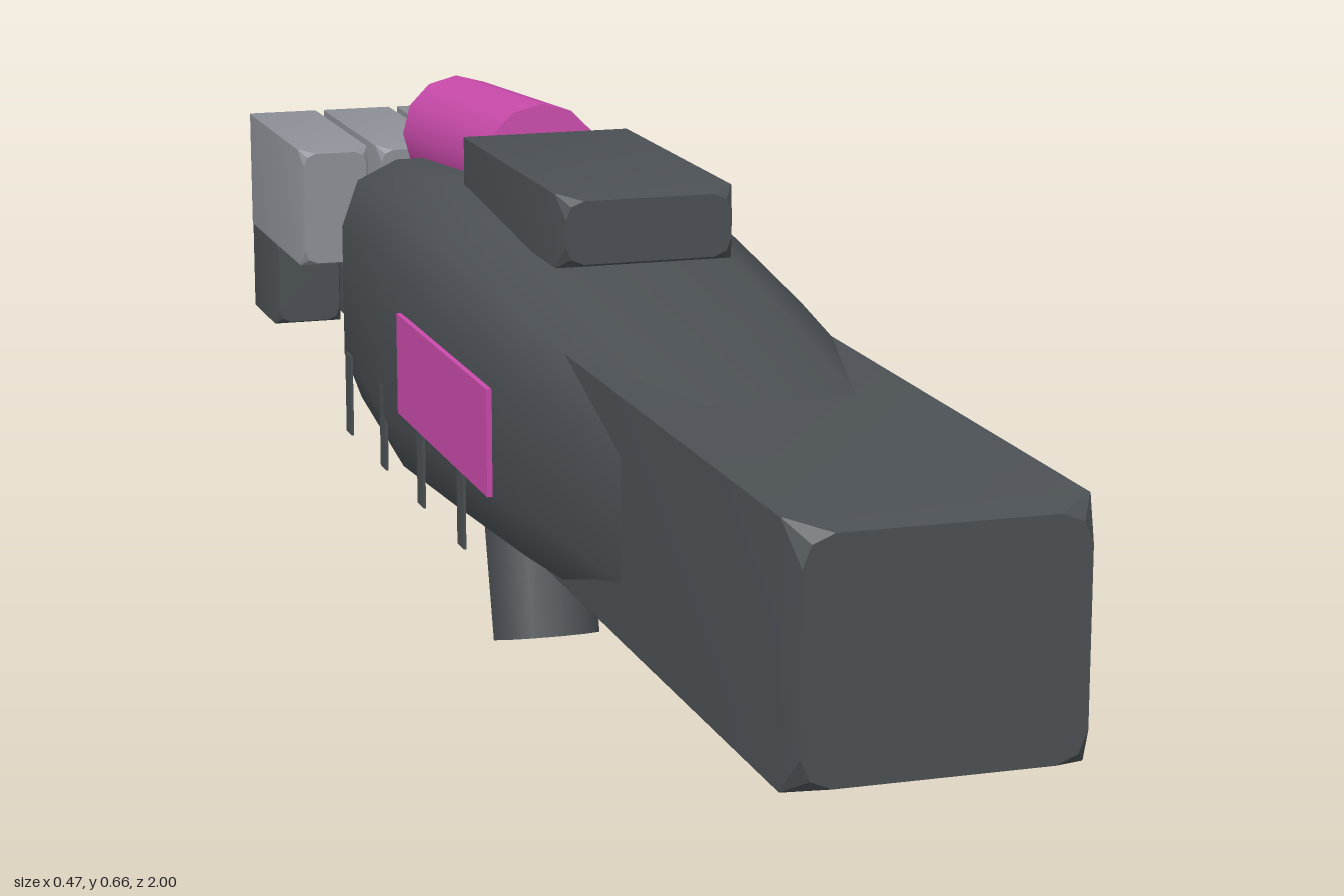
import * as THREE from 'three';
import { toCreasedNormals } from 'three/addons/utils/BufferGeometryUtils.js';

const CX = -0.038; // middle of the arm

const material = (name, color) => {
  const m = new THREE.MeshStandardMaterial({ color });
  m.name = name;
  return m;
};

// Closed loft through rounded rectangles, front to back: [z, halfWidth, bottom, top, cornerX, cornerY]
function loft(rings, crease) {
  const pos = [], idx = [], n = 12;
  for (const [z, w, y0, y1, rx, ry = rx] of rings) {
    const cy = (y0 + y1) / 2, h = (y1 - y0) / 2;
    for (let j = 0; j < n; j++) {
      const k = Math.floor(j / 3), a = k * Math.PI / 2 + (j % 3) * Math.PI / 4;
      const sx = k === 0 || k === 3 ? 1 : -1, sy = k < 2 ? 1 : -1;
      pos.push(sx * (w - rx) + rx * Math.cos(a), cy + sy * (h - ry) + ry * Math.sin(a), z);
    }
  }
  const last = (rings.length - 1) * n;
  for (let i = 0; i < last; i += n) {
    for (let j = 0; j < n; j++) {
      const a = i + j, b = i + (j + 1) % n, d = a + n, c = b + n;
      idx.push(a, d, b, b, d, c);
    }
  }
  for (let j = 1; j < n - 1; j++) {
    idx.push(0, j, j + 1, last, last + j + 1, last + j);
  }
  const g = new THREE.BufferGeometry();
  g.setAttribute('position', new THREE.Float32BufferAttribute(pos, 3));
  g.setIndex(idx);
  return toCreasedNormals(g, crease);
}

// Block with small chamfers at the chosen ends
function block(w, y0, y1, zFront, zBack, b, backBevel = true) {
  const end = z => [z, w - b * 0.3, y0 + b * 0.3, y1 - b * 0.3, b];
  const rings = [end(zFront), [zFront - b, w, y0, y1, 0.001]];
  if (backBevel) rings.push([zBack + b, w, y0, y1, 0.001], end(zBack));
  else rings.push([zBack, w, y0, y1, 0.001]);
  return loft(rings, 0.3);
}

export function createModel() {
  const group = new THREE.Group();
  const dark = material('darkMetal', 0x4b5054);
  const light = material('lightMetal', 0x8d9097);
  const pink = material('magenta', 0xc84aaa);

  const add = (name, geometry, mat, x = CX, y = 0, z = 0) => {
    const mesh = new THREE.Mesh(geometry, mat);
    mesh.name = name;
    mesh.position.set(x, y, z);
    group.add(mesh);
    return mesh;
  };

  // Square arm and the swollen shell around it
  add('upperArm', block(0.143, 0.255, 0.502, 1, 0, 0.03, false), dark);
  add('forearmShell', loft([
    [0.66, 0.128, 0.254, 0.494, 0.06],
    [0.2, 0.173, 0.235, 0.535, 0.07, 0.08],
    [-0.05, 0.186, 0.226, 0.558, 0.073, 0.085],
    [-0.27, 0.191, 0.217, 0.577, 0.073, 0.085],
    [-0.58, 0.167, 0.229, 0.549, 0.07, 0.08],
    [-0.6, 0.16, 0.235, 0.543, 0.065, 0.075],
  ], 0.9), dark);

  // Top housing with its barrel
  add('topHousing', block(0.098, 0.55, 0.63, 0.145, -0.27, 0.02), dark);
  const barrel = add('barrel', new THREE.CylinderGeometry(0.07, 0.07, 0.39, 12), pink, CX, 0.579, -0.46);
  barrel.rotation.x = -Math.PI / 2 - 0.06;

  // Slanted handle underneath
  const grip = add('handle', new THREE.CylinderGeometry(0.065, 0.065, 0.27, 12), dark, CX, 0.152, -0.298);
  grip.rotation.x = -0.272;

  // Side panels and the ribs below them
  for (const side of [-1, 1]) {
    add('sidePanel', new THREE.BoxGeometry(0.006, 0.116, 0.39), pink, CX + side * 0.1915, 0.384, 0.003);
    for (const z of [0.07, -0.107, -0.284, -0.46]) {
      add('sideRib', new THREE.BoxGeometry(0.003, 0.098, 0.027), dark, CX + side * 0.189, 0.287, z);
    }
  }

  // Four folded fingers
  for (let i = 0; i < 4; i++) {
    const x = -0.19 + i * 0.0997;
    add('fingerUpper', block(0.0445, 0.4, 0.548, -0.678, -1, 0.015), light, x);
    add('fingerLower', block(0.044, 0.29, 0.41, -0.845, -0.998, 0.015), dark, x);
  }

  // Bent thumb on the left side
  const profile = new THREE.Shape([
    [0.345, 0.162], [0.37, 0.153], [0.595, 0.14], [0.787, 0.262], [0.758, 0.319], [0.55, 0.24],
  ].map(p => new THREE.Vector2(...p)));
  const b = 0.008;
  const thumb = new THREE.ExtrudeGeometry(profile, {
    depth: 0.132 - 2 * b, bevelSize: b, bevelThickness: b, bevelOffset: -b, bevelSegments: 1,
  });
  thumb.rotateY(Math.PI / 2);
  add('thumb', thumb, light, 0.1 + b);

  return group;
}
